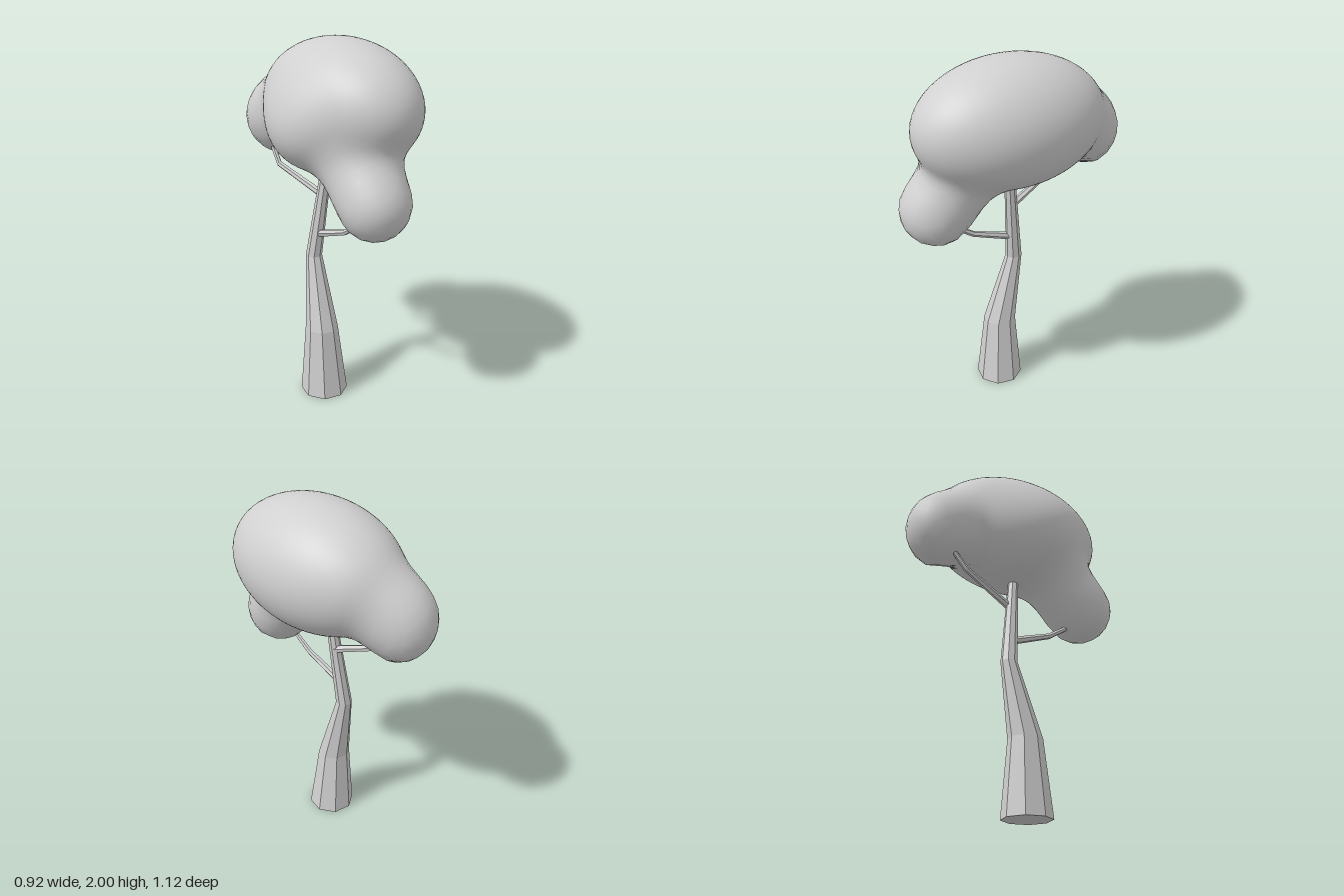
import * as THREE from 'three';
import { mergeVertices } from 'three/addons/utils/BufferGeometryUtils.js';

const V = (x, y, z) => new THREE.Vector3(x, y, z);

// Faceted limb through rings [x, y, z, radius]; level keeps every ring horizontal
function limb(rings, sides, level) {
  const centres = rings.map(([x, y, z]) => V(x, y, z));
  const pos = [], idx = [];
  rings.forEach((ring, i) => {
    const a = centres[Math.max(i - 1, 0)], b = centres[Math.min(i + 1, rings.length - 1)];
    const dir = level ? V(0, 1, 0) : b.clone().sub(a).normalize();
    const q = new THREE.Quaternion().setFromUnitVectors(V(0, 1, 0), dir);
    for (let s = 0; s < sides; s++) {
      const t = (s / sides) * Math.PI * 2;
      const p = V(Math.sin(t), 0, Math.cos(t)).multiplyScalar(ring[3]).applyQuaternion(q).add(centres[i]);
      pos.push(p.x, p.y, p.z);
    }
  });
  for (let i = 0; i < rings.length - 1; i++) {
    for (let s = 0; s < sides; s++) {
      const a = i * sides + s, b = i * sides + (s + 1) % sides;
      idx.push(a, b, b + sides, a, b + sides, a + sides);
    }
  }
  // End caps
  const top = (rings.length - 1) * sides;
  for (let s = 1; s < sides - 1; s++) idx.push(0, s + 1, s, top, top + s, top + s + 1);
  const g = new THREE.BufferGeometry();
  g.setAttribute('position', new THREE.Float32BufferAttribute(pos, 3));
  g.setIndex(idx);
  const flat = g.toNonIndexed();
  flat.computeVertexNormals();
  return flat;
}

// Approximate distance to an ellipsoid
function ellipsoid(p, c, r) {
  const x = p.x - c[0], y = p.y - c[1], z = p.z - c[2];
  const k0 = Math.hypot(x / r[0], y / r[1], z / r[2]);
  const k1 = Math.hypot(x / r[0] ** 2, y / r[1] ** 2, z / r[2] ** 2);
  return k1 < 1e-6 ? -Math.min(...r) : (k0 * (k0 - 1)) / k1;
}

function blend(a, b, k) {
  const h = Math.max(k - Math.abs(a - b), 0) / k;
  return Math.min(a, b) - h * h * k * 0.25;
}

// Lobes blended onto the main foliage: [centre, radii]
const lobes = [
  [[-0.065, 1.575, 0.06], [0.25, 0.235, 0.29]], // side bulge
  [[0.13, 1.39, 0.255], [0.182, 0.175, 0.185]], // neck of the front lobe
  [[0.207, 1.243, 0.37], [0.186, 0.19, 0.19]], // front lobe
  [[-0.275, 1.52, -0.375], [0.185, 0.21, 0.188]], // back lobe
];

// Foliage field: a slanted main mass blended with the lobes
function foliage(p) {
  const slanted = V(p.x - 0.315 * p.z, p.y, p.z);
  const main = ellipsoid(slanted, [0.055, 1.665, 0], [0.376, 0.335, 0.475]);
  return lobes.reduce((d, [c, r]) => blend(d, ellipsoid(p, c, r), 0.12), main);
}

function canopyGeometry() {
  let g = new THREE.IcosahedronGeometry(1, 13);
  g.deleteAttribute('normal');
  g.deleteAttribute('uv');
  g = mergeVertices(g, 1e-4);
  const centre = V(0.05, 1.56, 0.03), pos = g.attributes.position, dir = V(), p = V();
  for (let i = 0; i < pos.count; i++) {
    dir.fromBufferAttribute(pos, i).normalize();
    const at = (t) => foliage(p.copy(dir).multiplyScalar(t).add(centre));
    let hi = 1;
    while (hi > 0.1 && at(hi) > 0) hi -= 0.01;
    let lo = hi;
    hi += 0.01;
    for (let n = 0; n < 12; n++) {
      const mid = (lo + hi) / 2;
      if (at(mid) > 0) hi = mid; else lo = mid;
    }
    at(lo);
    pos.setXYZ(i, p.x, p.y, p.z);
  }
  g.computeVertexNormals();
  return g;
}

export function createModel() {
  const grey = new THREE.MeshStandardMaterial({ color: 0xd0d0d0 });
  grey.name = 'pale grey';
  const tree = new THREE.Group();
  tree.name = 'tree';
  const add = (name, geometry) => {
    const mesh = new THREE.Mesh(geometry, grey);
    mesh.name = name;
    tree.add(mesh);
  };

  add('trunk', limb([
    [-0.035, 0, 0.075, 0.132],
    [-0.048, 0.4, 0.07, 0.091],
    [-0.088, 0.81, -0.01, 0.045],
    [-0.005, 1.42, 0.01, 0.026],
  ], 8, true));

  add('frontBranch', limb([
    [-0.06, 0.945, 0.01, 0.021],
    [0.07, 1.025, 0.2, 0.016],
    [0.18, 1.15, 0.36, 0.011],
  ], 6));

  add('backBranch', limb([
    [-0.035, 1.16, -0.01, 0.021],
    [-0.275, 1.275, -0.225, 0.016],
    [-0.33, 1.41, -0.32, 0.013],
  ], 6));

  add('canopy', canopyGeometry());
  return tree;
}
